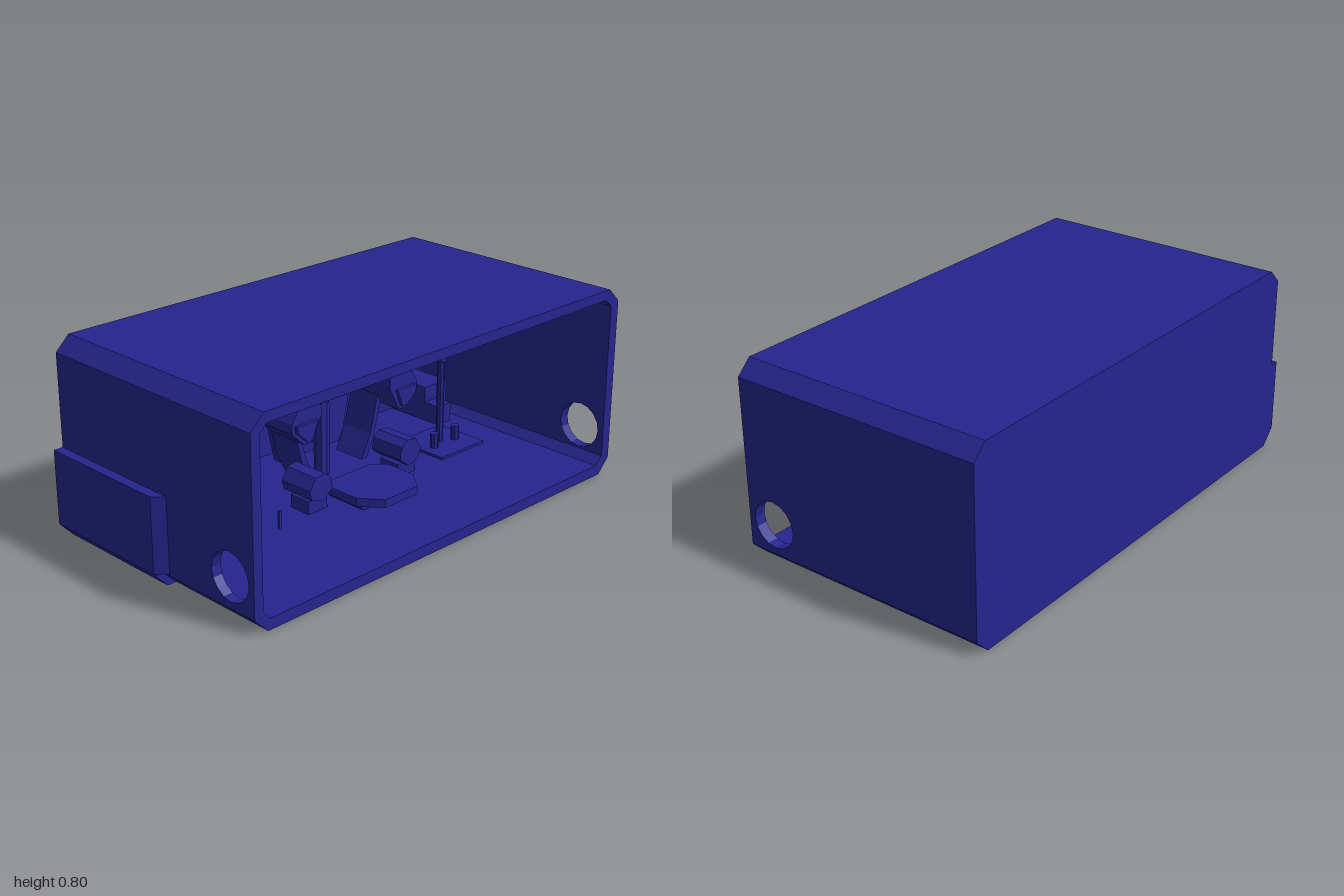
import * as THREE from 'three';

const material = new THREE.MeshStandardMaterial({ color: 0x25258f, flatShading: true });
const CX = 0.055; // symmetry line of the central rig

export function createModel() {
  const root = new THREE.Group();

  const add = (name, geometry) => {
    const mesh = new THREE.Mesh(geometry, material);
    mesh.name = name;
    root.add(mesh);
    return mesh;
  };
  const outline = (pts) => new THREE.Shape(pts.map(([x, y]) => new THREE.Vector2(x, y)));
  // Front profile (x, y) extruded from z0 to z1
  const prism = (name, pts, z0, z1) => {
    const g = new THREE.ExtrudeGeometry(outline(pts), { depth: z1 - z0, bevelEnabled: false });
    return add(name, g.translate(0, 0, z0));
  };
  const box = (name, x0, x1, y0, y1, z0, z1) =>
    add(name, new THREE.BoxGeometry(x1 - x0, y1 - y0, z1 - z0)
      .translate((x0 + x1) / 2, (y0 + y1) / 2, (z0 + z1) / 2));
  const post = (name, x, z, y0, y1, r, rTop = r, sides = 8) =>
    add(name, new THREE.CylinderGeometry(rTop, r, y1 - y0, sides).translate(x, (y0 + y1) / 2, z));
  // Pair of profiles mirrored about the rig's centre; x is the offset from it
  const pair = (name, pts, z0, z1) => {
    for (const [side, s] of [['left', 1], ['right', -1]])
      prism(side + name, pts.map(([x, y]) => [CX + s * x, y]), z0, z1);
  };

  // Shell: floor and roof with chamfered corners
  prism('floor', [[-0.96, 0.06], [-0.9, 0], [0.94, 0], [1, 0.06], [1, 0.08], [0.955, 0.08],
    [0.92, 0.045], [-0.89, 0.045], [-0.92, 0.08], [-0.96, 0.08]], -0.535, 0.535);
  prism('roof', [[-0.96, 0.745], [-0.9, 0.803], [0.94, 0.803], [1, 0.745], [1, 0.73], [0.955, 0.73],
    [0.92, 0.762], [-0.89, 0.762], [-0.92, 0.73], [-0.96, 0.73]], -0.535, 0.535);

  // Side walls, each with a round port near the front
  for (const [name, x, t] of [['leftWall', 1, 0.045], ['rightWall', -0.92, 0.04]]) {
    const wall = outline([[-0.535, 0.08], [0.535, 0.08], [0.535, 0.73], [-0.535, 0.73]]);
    const port = new THREE.Path();
    port.absarc(0.412, 0.183, 0.096, 0, Math.PI * 2, true);
    wall.holes.push(port);
    const g = new THREE.ExtrudeGeometry(wall, { depth: t, bevelEnabled: false, curveSegments: 8 });
    add(name, g.rotateY(-Math.PI / 2).translate(x, 0, 0));
  }
  box('backWall', -0.93, 0.96, 0.04, 0.77, -0.535, -0.5);

  // Raised panel on the outside of the right wall
  const panel = outline([[-1, 0.535], [-1, -0.04], [-0.96, -0.08], [-0.95, -0.08], [-0.95, 0.535]]);
  add('sidePanel', new THREE.ExtrudeGeometry(panel, { depth: 0.305, bevelEnabled: false })
    .rotateX(-Math.PI / 2).translate(0, 0.065, 0));
  prism('sidePanelFoot', [[-1, 0.065], [-0.94, 0], [-0.9, 0], [-0.955, 0.065]], -0.535, 0.04);

  // Fittings along the inner side walls
  prism('wallBench', [[-0.925, 0.04], [-0.84, 0.04], [-0.85, 0.08], [-0.915, 0.25],
    [-0.915, 0.48], [-0.925, 0.48]], -0.5, 0);
  prism('ceilingBrace', [[0.79, 0.765], [0.83, 0.765], [0.96, 0.66], [0.96, 0.62]], -0.5, 0);

  // Rear cabinets with pipes to the ceiling
  box('cabinet', -0.81, -0.68, 0.045, 0.31, -0.5, -0.38);
  box('cabinetTop', -0.82, -0.675, 0.31, 0.335, -0.5, -0.37);
  box('cabinetDoor', -0.79, -0.7, 0.16, 0.29, -0.38, -0.37);
  box('console', -0.65, -0.43, 0.045, 0.335, -0.5, -0.38);
  for (const y of [0.22, 0.29, 0.325]) box('consoleStrip', -0.65, -0.43, y, y + 0.015, -0.38, -0.365);
  for (const x of [-0.75, -0.54]) {
    post('pipe', x, -0.46, 0.33, 0.765, 0.013);
    box('pipeRail', x - 0.025, x + 0.025, 0.33, 0.765, -0.5, -0.475);
  }
  for (const z of [0.05, -0.07, -0.2]) box('floorPost', -0.41, -0.4, 0.045, 0.12, z - 0.005, z + 0.005);

  // Pole with collar on a base plate, and a stepped crate
  box('poleBase', 0.51, 0.77, 0.045, 0.056, -0.2, 0.05);
  post('pole', 0.635, -0.08, 0.05, 0.42, 0.016);
  post('poleCollar', 0.635, -0.08, 0.42, 0.46, 0.026);
  post('poleTop', 0.638, -0.08, 0.46, 0.765, 0.006);
  for (const x of [0.57, 0.7]) post('stud', x, -0.05, 0.05, 0.12, 0.018);
  box('crate', 0.78, 0.92, 0.045, 0.2, -0.5, -0.3);
  box('crateStep', 0.78, 0.86, 0.045, 0.13, -0.3, -0.22);

  // Central rig: octagonal footplate
  const plate = outline([[-0.16, -0.06], [-0.09, -0.15], [0.09, -0.15], [0.16, -0.06],
    [0.16, 0.08], [0.11, 0.13], [-0.11, 0.13], [-0.16, 0.08]]);
  add('footPlate', new THREE.ExtrudeGeometry(plate, { depth: 0.035, bevelEnabled: false })
    .rotateX(-Math.PI / 2).translate(CX, 0.075, 0.1));
  prism('footBlock', [[CX - 0.15, 0.08], [CX - 0.12, 0.045], [CX + 0.12, 0.045], [CX + 0.15, 0.08]], -0.03, 0.16);

  // Seat shell, column and frame
  prism('seatShell', [[CX - 0.23, 0.4], [CX - 0.17, 0.13], [CX + 0.17, 0.13], [CX + 0.23, 0.4]], -0.3, -0.26);
  post('column', CX, -0.2, 0.05, 0.41, 0.032);
  prism('crossBar', [[CX - 0.2, 0.4], [CX - 0.16, 0.43], [CX + 0.16, 0.43], [CX + 0.2, 0.4]], -0.23, -0.12);
  pair('FrameLeg', [[0.23, 0.4], [0.255, 0.4], [0.2, 0.18], [0.16, 0.1], [0.13, 0.1], [0.18, 0.2]], -0.25, -0.1);

  // Upper consoles and lower pods on either side
  pair('UpperConsole', [[0.19, 0.42], [0.19, 0.46], [0.23, 0.49], [0.3, 0.49], [0.345, 0.42],
    [0.345, 0.38], [0.28, 0.32], [0.24, 0.32]], -0.18, 0);
  pair('ConsoleScreen', [[0.22, 0.41], [0.33, 0.41], [0.325, 0.38], [0.275, 0.335], [0.25, 0.335]], 0, 0.015);
  pair('LowerPod', [[0.19, 0.13], [0.2, 0.18], [0.23, 0.205], [0.28, 0.2], [0.31, 0.15],
    [0.3, 0.11], [0.24, 0.09]], -0.1, 0.06);
  pair('PodFoot', [[0.2, 0.045], [0.3, 0.045], [0.3, 0.1], [0.2, 0.1]], -0.06, 0.04);

  // Ceiling mount with hanging stem
  pair('MountCheek', [[0.17, 0.765], [0.165, 0.66], [0.125, 0.58], [0.06, 0.58], [0.06, 0.62],
    [0.1, 0.66], [0.105, 0.765]], -0.28, -0.08);
  box('mountCore', CX - 0.075, CX + 0.075, 0.64, 0.765, -0.25, -0.12);
  post('mountCone', CX, -0.18, 0.6, 0.65, 0.022, 0.045);
  post('stem', CX, -0.18, 0.52, 0.61, 0.016);
  post('stemWeight', CX, -0.18, 0.43, 0.53, 0.034, 0.034, 10);

  return root;
}
